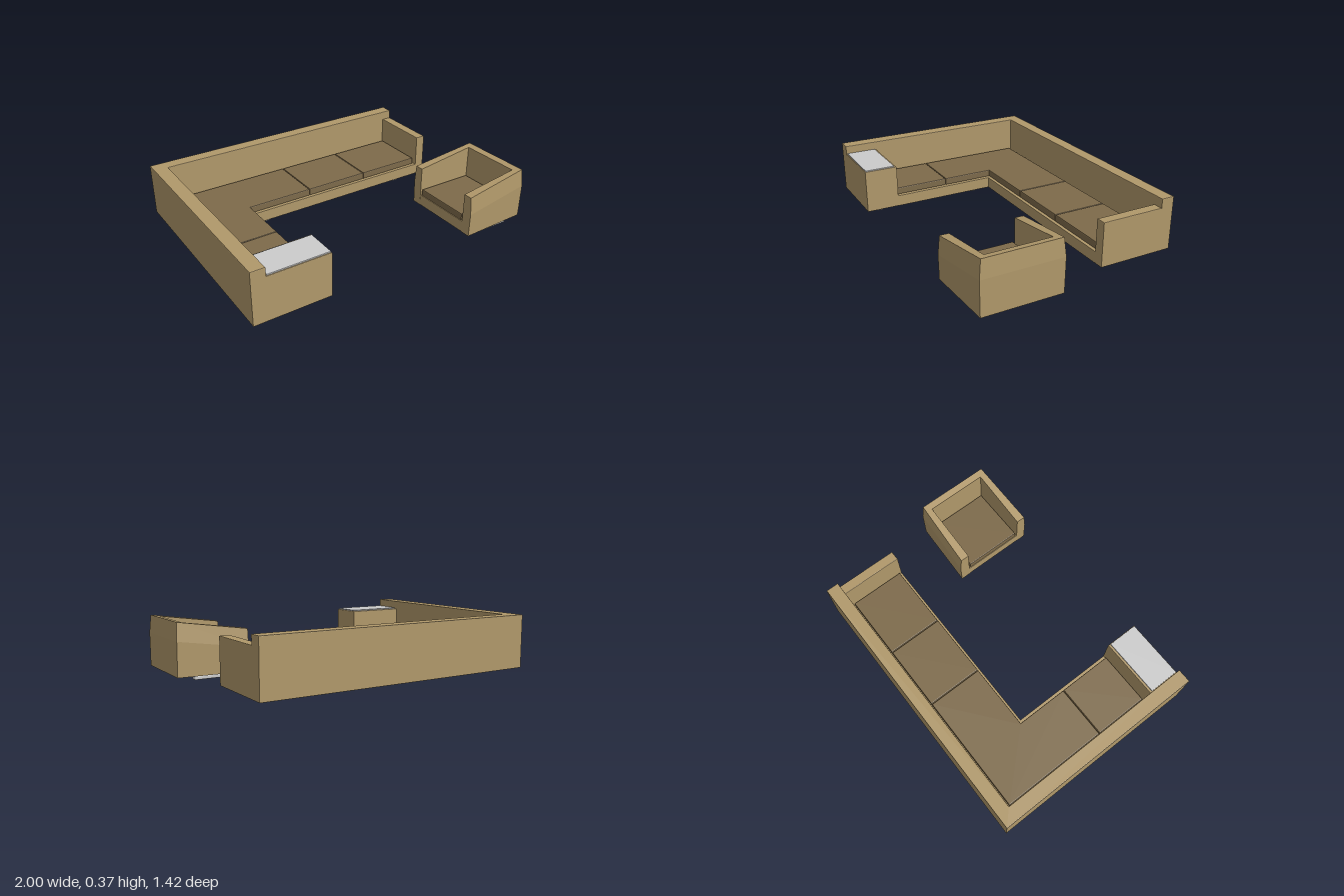
import * as THREE from 'three';
import { RoundedBoxGeometry } from 'three/addons/geometries/RoundedBoxGeometry.js';

const fabric = new THREE.MeshStandardMaterial({ color: 0xb0986a });
const seatFabric = new THREE.MeshStandardMaterial({ color: 0x7d6a4a });
const grey = new THREE.MeshStandardMaterial({ color: 0xcccccc });

function add(parent, name, geometry, material) {
  const mesh = new THREE.Mesh(geometry, material);
  mesh.name = name;
  parent.add(mesh);
  return mesh;
}

// Plan outline given as [x, z] corners
function planShape(points) {
  return new THREE.Shape(points.map(([x, z]) => new THREE.Vector2(x, -z)));
}

// Upright slab with a floor plan and softly bevelled edges
function slab(points, y0, y1, bevel = 0.004) {
  const geometry = new THREE.ExtrudeGeometry(planShape(points), {
    depth: y1 - y0 - 2 * bevel, bevelThickness: bevel, bevelSize: bevel,
    bevelOffset: -bevel, bevelSegments: 2,
  });
  return geometry.rotateX(-Math.PI / 2).translate(0, y0 + bevel, 0);
}

const rect = (x0, x1, z0, z1) => [[x0, z0], [x1, z0], [x1, z1], [x0, z1]];

// Low runner foot, long in x or in z
function addFoot(parent, x, z, alongX) {
  const [w, d] = alongX ? [0.32, 0.045] : [0.04, 0.32];
  add(parent, 'foot', new RoundedBoxGeometry(w, 0.027, d, 2, 0.008), grey)
    .position.set(x, 0.0135, z);
}

function createSofa() {
  const sofa = new THREE.Group();
  sofa.name = 'cornerSofa';
  const floor = 0.025;

  // Continuous back along two sides
  add(sofa, 'backrest', slab([
    [-1, -0.71], [0.87, -0.71], [0.87, -0.625], [-0.91, -0.625], [-0.91, 0.71], [-1, 0.71],
  ], floor, 0.37), fabric);
  add(sofa, 'seatBase', slab([
    [-0.91, -0.625], [0.805, -0.625], [0.805, -0.21], [-0.51, -0.21], [-0.51, 0.49], [-0.91, 0.49],
  ], floor, 0.1, 0.002), fabric);

  // Narrow arm at one end, wide arm with a tray at the other
  add(sofa, 'narrowArm', slab(rect(0.805, 0.87, -0.625, -0.21), floor, 0.312), fabric);
  add(sofa, 'wideArm', slab(rect(-0.91, -0.51, 0.49, 0.71), floor, 0.312), fabric);
  add(sofa, 'armTray', slab(rect(-0.903, -0.515, 0.505, 0.705), 0.311, 0.32, 0.002), grey);

  // Seat cushions
  const cushions = [
    [[-0.89, -0.6], [-0.092, -0.6], [-0.092, -0.23], [-0.535, -0.23], [-0.535, 0.118], [-0.89, 0.118]],
    rect(-0.088, 0.348, -0.6, -0.23),
    rect(0.352, 0.79, -0.6, -0.23),
    rect(-0.89, -0.535, 0.122, 0.482),
  ];
  for (const plan of cushions) add(sofa, 'seatCushion', slab(plan, 0.099, 0.147, 0.006), seatFabric);

  addFoot(sofa, -0.71, 0.61, true);
  addFoot(sofa, -0.71, -0.105, true);
  addFoot(sofa, -0.415, -0.395, false);
  addFoot(sofa, 0.64, -0.395, false);
  return sofa;
}

// U-shaped shell: top rises to the back, outer faces lean in above a sloping crease
function chairShell() {
  const geometry = new THREE.ExtrudeGeometry(planShape([
    [0.54, 0.11], [0.998, 0.13], [0.998, 0.64], [0.54, 0.66],
    [0.54, 0.593], [0.945, 0.59], [0.945, 0.18], [0.54, 0.177],
  ]), { depth: 2, steps: 2, bevelEnabled: false }).rotateX(-Math.PI / 2);
  const p = geometry.attributes.position;
  for (let i = 0; i < p.count; i++) {
    let x = p.getX(i), z = p.getZ(i);
    const level = Math.round(p.getY(i));
    const rise = 0.065 * (x - 0.54) / 0.458;
    const y = [0.025, 0.18 + rise, 0.295 + rise][level];
    const lean = [0, -0.003, 0.009][level];
    if (z < 0.16) z += lean;
    if (z > 0.61) z -= lean;
    if (x > 0.97 && level === 2) x -= 0.008;
    p.setXYZ(i, x, y, z);
  }
  geometry.computeVertexNormals();
  return geometry;
}

function createChair() {
  const chair = new THREE.Group();
  chair.name = 'armchair';
  add(chair, 'chairShell', chairShell(), fabric);
  add(chair, 'chairBase', slab(rect(0.541, 0.946, 0.176, 0.594), 0.025, 0.1, 0.002), fabric);
  add(chair, 'chairCushion', slab(rect(0.543, 0.932, 0.19, 0.58), 0.099, 0.147, 0.006), seatFabric);
  for (const z of [0.155, 0.61]) addFoot(chair, 0.73, z, true);
  return chair;
}

export function createModel() {
  const model = new THREE.Group();
  model.name = 'loungeSet';
  model.add(createSofa(), createChair());
  return model;
}
